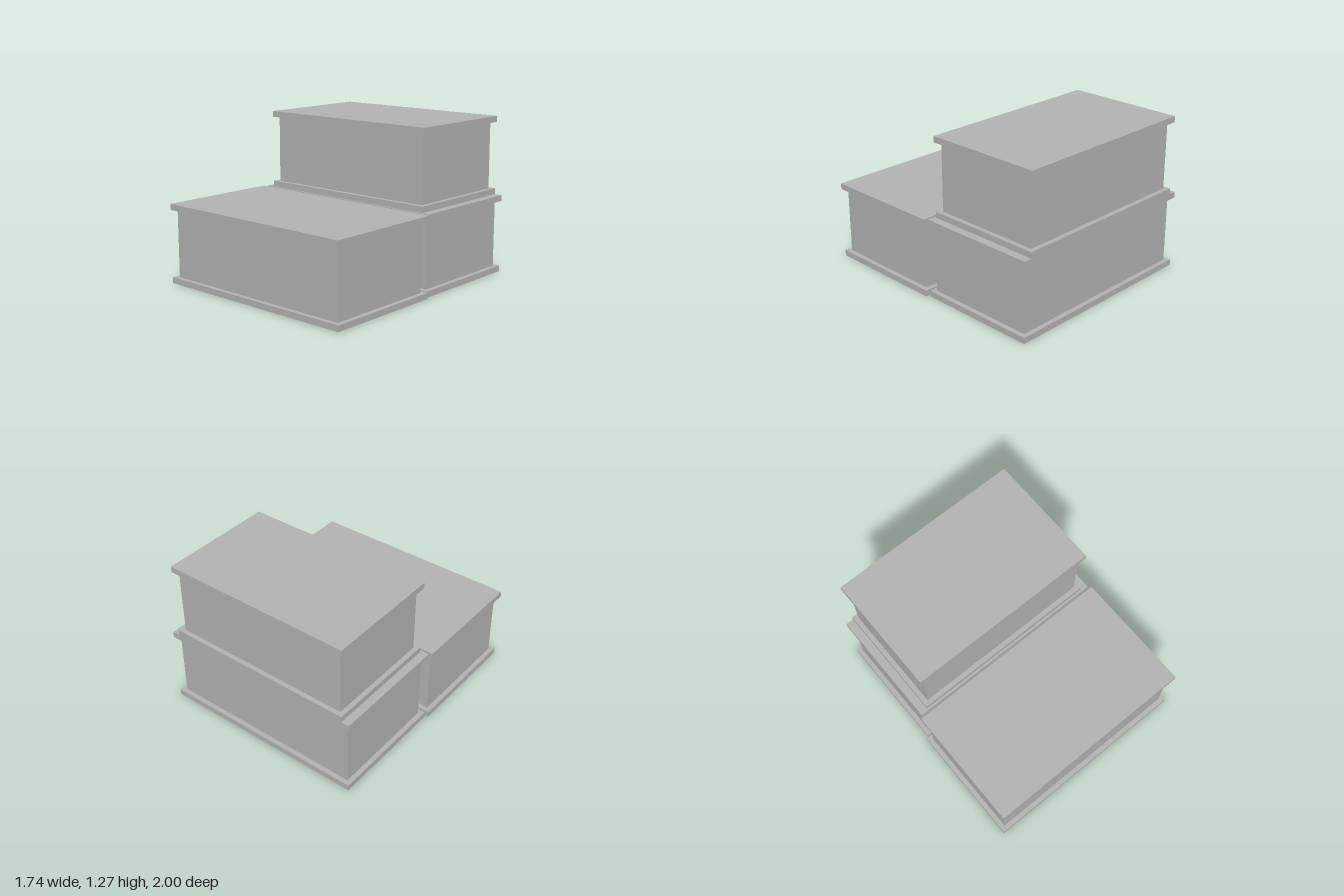
import * as THREE from 'three';

const grey = new THREE.MeshStandardMaterial({ color: 0xb2b2b2 });
grey.name = 'grey';

const PLATE = 0.048; // thickness of the base and lid slabs
const LIP = 0.038;   // how far the slabs overhang the body
const HEIGHT = 0.637;

function slab(name, width, height, depth, y) {
  const mesh = new THREE.Mesh(new THREE.BoxGeometry(width, height, depth), grey);
  mesh.name = name;
  mesh.position.y = y + height / 2;
  return mesh;
}

// A block with an overhanging base and lid, spanning zBack to zFront
function createBlock(name, width, zBack, zFront, y) {
  const block = new THREE.Group();
  block.name = name;
  const depth = zFront - zBack;
  block.add(
    slab('base', width, PLATE, depth, 0),
    slab('body', width - 2 * LIP, HEIGHT - 2 * PLATE, depth - 2 * LIP, PLATE),
    slab('lid', width, PLATE, depth, HEIGHT - PLATE)
  );
  block.position.set(0, y, (zBack + zFront) / 2);
  return block;
}

export function createModel() {
  const model = new THREE.Group();
  model.name = 'stackedBlocks';
  model.add(
    createBlock('frontBlock', 1.744, 0.0, 1.0, 0),
    createBlock('backBlock', 1.7, -1.0, -0.02, 0),
    createBlock('upperBlock', 1.57, -1.0, -0.037, HEIGHT)
  );
  return model;
}
